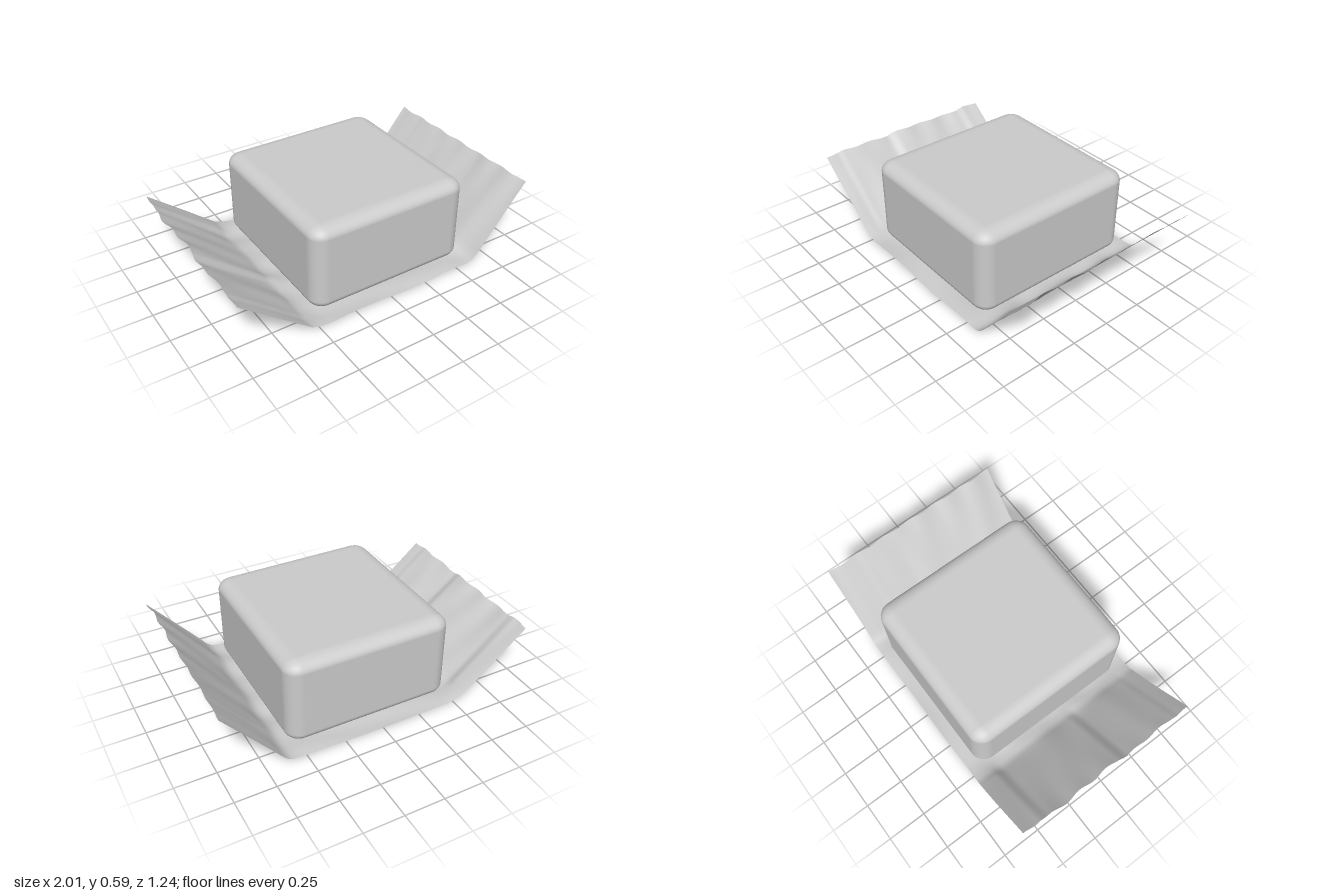
import * as THREE from 'three';
import { RoundedBoxGeometry } from 'three/addons/geometries/RoundedBoxGeometry.js';

// piecewise-linear lookup through [input, output] pairs
function lookup(points, t) {
  for (let i = 1; i < points.length; i++) {
    const [a, va] = points[i - 1], [b, vb] = points[i];
    if (t <= b) return va + (vb - va) * (t - a) / (b - a);
  }
  return points[points.length - 1][1];
}

// cross-section of the sheet: flat bed with two flaps turned up
const profile = [
  [-1, 0.402], [-0.6, 0.08], [-0.555, 0.045], [-0.5, 0.03], [-0.45, 0.025],
  [0, 0.022], [0.55, 0.024], [0.6, 0.032], [0.63, 0.052], [0.99, 0.485],
];

// pleats running across each flap, as offsets along z
const leftPleats = [
  [-0.62, 0], [-0.5, 0.011], [-0.445, -0.011], [-0.2, -0.002], [0.085, 0.011],
  [0.14, -0.011], [0.35, 0.004], [0.5, 0.005], [0.53, -0.003], [0.615, 0.002],
];
const rightPleats = [
  [-0.62, 0], [-0.5, -0.004], [-0.385, 0.009], [-0.3, 0.001], [-0.15, -0.003],
  [0.04, 0.005], [0.2, -0.004], [0.43, 0.005], [0.615, -0.002],
];

function createSheet() {
  const geometry = new THREE.PlaneGeometry(1.99, 1.235, 90, 80);
  geometry.rotateX(-Math.PI / 2).translate(-0.005, 0, -0.0025);
  const p = geometry.attributes.position;
  for (let i = 0; i < p.count; i++) {
    const x = p.getX(i), z = p.getZ(i);
    const left = 1 - THREE.MathUtils.smoothstep(x, -0.6, -0.5);
    const right = THREE.MathUtils.smoothstep(x, 0.57, 0.66);
    const bed = 1 - left - right;
    // soft crumples, deepest along the folds
    const fold = Math.exp(-(((x - 0.6) / 0.07) ** 2)) + Math.exp(-(((x + 0.52) / 0.07) ** 2));
    const ripple = 0.003 * Math.sin(13 * z + 4 * x) + 0.003 * Math.sin(27 * z - 6 * x + 1);
    const crumple = ripple + fold * 0.006 * Math.sin(17 * z + 2 * x)
      + bed * 0.004 * Math.sin(9 * x + 5 * z);
    const offset = left * lookup(leftPleats, z) + right * lookup(rightPleats, z) + crumple;
    const edge = Math.abs(x) ** 8 * 0.006 * Math.sin(31 * z + 2);
    p.setXYZ(
      i,
      x + (left - right) * 0.5 * offset + edge,
      Math.max(0.002, lookup(profile, x) + offset * (1 - 0.3 * (left + right))),
      z + 0.003 * Math.sin(11 * x) * Math.abs(z),
    );
  }
  geometry.computeVertexNormals();
  return geometry;
}

export function createModel() {
  const group = new THREE.Group();
  const grey = new THREE.MeshStandardMaterial({ color: 0xcccccc });
  grey.name = 'grey';
  grey.side = THREE.DoubleSide;

  // block with softened edges, flatter vertically than across
  const squash = 0.7;
  const blockGeometry = new RoundedBoxGeometry(1.055, 0.555 / squash, 1.095, 6, 0.095);
  blockGeometry.scale(1, squash, 1);
  const block = new THREE.Mesh(blockGeometry, grey);
  block.name = 'roundedBlock';
  block.position.set(0.0425, 0.3225, -0.0025);
  group.add(block);

  // crumpled wrapping under the block
  const sheet = new THREE.Mesh(createSheet(), grey);
  sheet.name = 'wrappingSheet';
  group.add(sheet);

  return group;
}
